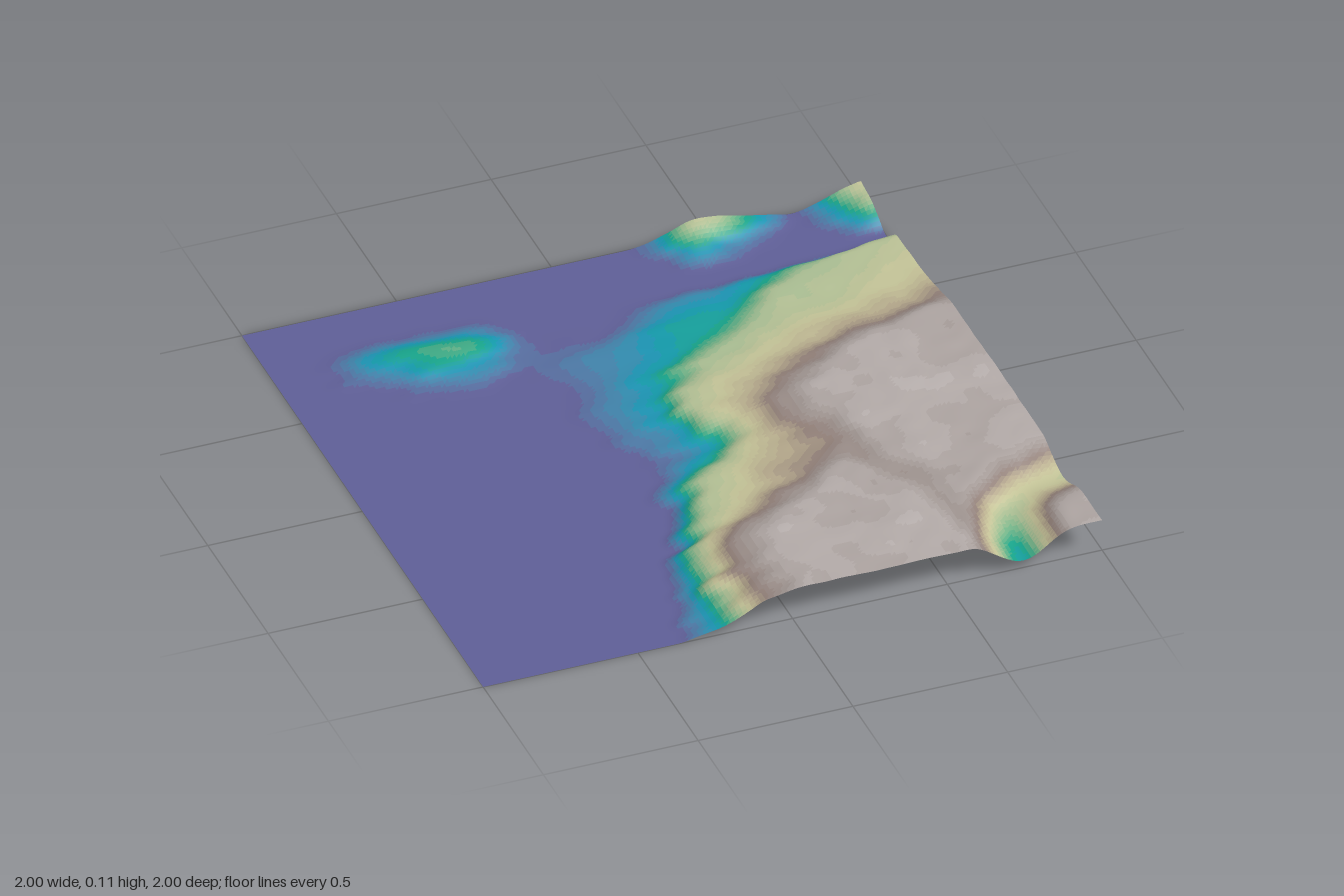
import * as THREE from 'three';

const N = 140;          // grid cells per side
const TOP = 0.116;      // highest ground
const BANDS = 32;       // colour bands by height

// Main land: for each z (step 0.1 from -0.8), the x at which the ground reaches each level
const LEVELS = [0, 0.025, 0.052, 0.09, 0.109];
const COAST = [
  [1.2, 2, 2.2, 3, 4], [0.1, 0.55, 0.8, 2, 3], [0, 0.42, 0.58, 2.5, 3],
  [-0.2, 0.32, 0.52, 1.8, 2.5], [-0.2, 0.2, 0.38, 1.4, 1.8], [-0.25, 0.06, 0.2, 0.95, 1.15],
  [-0.25, 0.05, 0.11, 0.55, 0.75], [-0.2, 0.03, 0.08, 0.38, 0.55], [-0.16, 0.04, 0.1, 0.34, 0.48],
  [-0.11, 0.11, 0.19, 0.34, 0.5], [-0.14, -0.02, 0.07, 0.38, 0.5], [-0.17, -0.1, -0.02, 0.4, 0.5],
  [-0.18, -0.14, -0.08, 0.3, 0.42], [-0.2, -0.16, -0.1, 0.1, 0.3], [-0.23, -0.18, -0.13, -0.02, 0.14],
  [-0.26, -0.21, -0.16, -0.08, 0.08], [-0.32, -0.25, -0.2, -0.13, 0], [-0.34, -0.25, -0.2, -0.13, 0],
  [-0.36, -0.25, -0.19, -0.1, 0.02],
];

// Low islands and hills: x, z, radius x, radius z, height
const HILLS = [
  [-0.62, -0.69, 0.26, 0.15, 0.025], [-0.4, -0.66, 0.24, 0.19, 0.026], [-0.5, -0.6, 0.26, 0.18, 0.012],
  [-0.12, -0.5, 0.28, 0.2, 0.006], [0.2, -0.57, 0.22, 0.2, 0.01],
  [0.46, -1.04, 0.2, 0.27, 0.064], [0.62, -1.06, 0.15, 0.22, 0.035], [1.06, -1.06, 0.32, 0.33, 0.09],
];

// Valleys: points of x, z, floor height, and half width
const VALLEYS = [
  { width: 0.17, path: [[0.74, 1.1, 0.02], [0.75, 0.92, 0.028], [0.78, 0.8, 0.05], [0.87, 0.71, 0.06], [1.1, 0.64, 0.062]] },
  { width: 0.08, path: [[0.4, 0.2, 0.094], [0.47, 0.42, 0.099], [0.57, 0.55, 0.1], [0.62, 0.85, 0.097]] },
];

// Ground colours from water to peak
const COLOURS = [
  [0, 0x5e5e96], [0.07, 0x4a7aa6], [0.17, 0x1296b4], [0.27, 0x17a583], [0.36, 0x76b488],
  [0.45, 0xa9bd92], [0.56, 0xc6c498], [0.68, 0xb3a68a], [0.78, 0x8f7d77], [0.88, 0x9f9591], [1, 0xb8b0ae],
].map(([t, c]) => [t, new THREE.Color(c)]);

const { clamp, lerp, smoothstep } = THREE.MathUtils;

function hash(i, j) {
  const s = Math.sin(i * 127.1 + j * 311.7) * 43758.5453;
  return s - Math.floor(s);
}

// Smooth value noise in -1..1
function noise(x, z) {
  const i = Math.floor(x), j = Math.floor(z);
  const u = smoothstep(x - i, 0, 1), v = smoothstep(z - j, 0, 1);
  return 2 * lerp(lerp(hash(i, j), hash(i + 1, j), u), lerp(hash(i, j + 1), hash(i + 1, j + 1), u), v) - 1;
}

function mainLand(x, z) {
  if (z < -0.8) return 0;
  const f = clamp((z + 0.8) * 10, 0, COAST.length - 1.001);
  const r = Math.floor(f);
  const xs = LEVELS.map((_, k) => lerp(COAST[r][k], COAST[r + 1][k], f - r));
  if (x <= xs[0]) return 0;
  for (let k = 1; k < xs.length; k++) {
    if (x < xs[k]) return lerp(LEVELS[k - 1], LEVELS[k], (x - xs[k - 1]) / (xs[k] - xs[k - 1]));
  }
  return LEVELS[LEVELS.length - 1];
}

function carve(h, x, z, { width, path }) {
  let best = Infinity, floor = 0;
  for (let i = 0; i < path.length - 1; i++) {
    const [ax, az, ah] = path[i], [bx, bz, bh] = path[i + 1];
    const dx = bx - ax, dz = bz - az;
    const t = clamp(((x - ax) * dx + (z - az) * dz) / (dx * dx + dz * dz), 0, 1);
    const d = Math.hypot(x - ax - t * dx, z - az - t * dz);
    if (d < best) { best = d; floor = lerp(ah, bh, t); }
  }
  return Math.min(h, lerp(floor, Math.max(h, floor), smoothstep(best, 0, width)));
}

function heightAt(x, z) {
  // Ragged edges, streaked along x
  const wx = x + 0.035 * noise(x * 6, z * 22) + 0.015 * noise(x * 15 + 40, z * 30);
  const wz = z + 0.015 * noise(x * 12 + 9, z * 12);
  let h = mainLand(wx, wz);
  for (const [cx, cz, rx, rz, top] of HILLS) {
    const d = Math.hypot((wx - cx) / rx, (wz - cz) / rz);
    h += top * (1 - smoothstep(d, 0, 1));
  }
  for (const valley of VALLEYS) h = carve(h, x, z, valley);
  // Channel in the north
  if (x > 0.2) h *= smoothstep(Math.abs(z + 0.785), 0.012, 0.065);
  // Small lumps, stronger on high ground
  const rough = noise(x * 9, z * 9) * 0.6 + noise(x * 19 + 5, z * 19) * 0.4;
  return clamp(h + rough * 0.006 * smoothstep(h, 0.01, 0.1), 0, TOP);
}

function colourAt(t) {
  let k = 1;
  while (k < COLOURS.length - 1 && t > COLOURS[k][0]) k++;
  const [t0, c0] = COLOURS[k - 1], [t1, c1] = COLOURS[k];
  return c0.clone().lerp(c1, clamp((t - t0) / (t1 - t0), 0, 1));
}

function zoneName(t) {
  if (t < 0.04) return 'water';
  if (t < 0.25) return 'shallows';
  if (t < 0.45) return 'lowland';
  return t < 0.75 ? 'hillside' : 'highland';
}

export function createModel() {
  const group = new THREE.Group();
  group.name = 'terrain';

  // Height field with light smoothing
  const ground = new THREE.PlaneGeometry(2, 2, N, N).rotateX(-Math.PI / 2);
  const pos = ground.attributes.position;
  const raw = Array.from({ length: pos.count }, (_, i) => heightAt(pos.getX(i), pos.getZ(i)));
  const W = N + 1;
  for (let i = 0; i < pos.count; i++) {
    const c = i % W, r = Math.floor(i / W);
    let sum = 0, n = 0;
    for (let dr = -1; dr <= 1; dr++) for (let dc = -1; dc <= 1; dc++) {
      if (c + dc < 0 || c + dc > N || r + dr < 0 || r + dr > N) continue;
      sum += raw[(r + dr) * W + c + dc];
      n++;
    }
    pos.setY(i, sum / n);
  }
  ground.computeVertexNormals();

  // Sort the triangles into bands of height that share points and normals
  const bands = Array.from({ length: BANDS }, () => []);
  const idx = ground.index.array;
  for (let i = 0; i < idx.length; i += 3) {
    const tri = [idx[i], idx[i + 1], idx[i + 2]];
    const h = tri.reduce((s, v) => s + pos.getY(v), 0) / 3;
    bands[Math.min(BANDS - 1, Math.floor((h / TOP) * BANDS))].push(...tri);
  }
  bands.forEach((tris, b) => {
    if (!tris.length) return;
    const t = b / (BANDS - 1);
    const geometry = new THREE.BufferGeometry();
    geometry.setAttribute('position', pos);
    geometry.setAttribute('normal', ground.attributes.normal);
    geometry.setIndex(tris);
    const material = new THREE.MeshStandardMaterial({ color: colourAt(t), side: THREE.DoubleSide });
    const mesh = new THREE.Mesh(geometry, material);
    mesh.name = `${zoneName(t)}${b}`;
    group.add(mesh);
  });
  return group;
}
